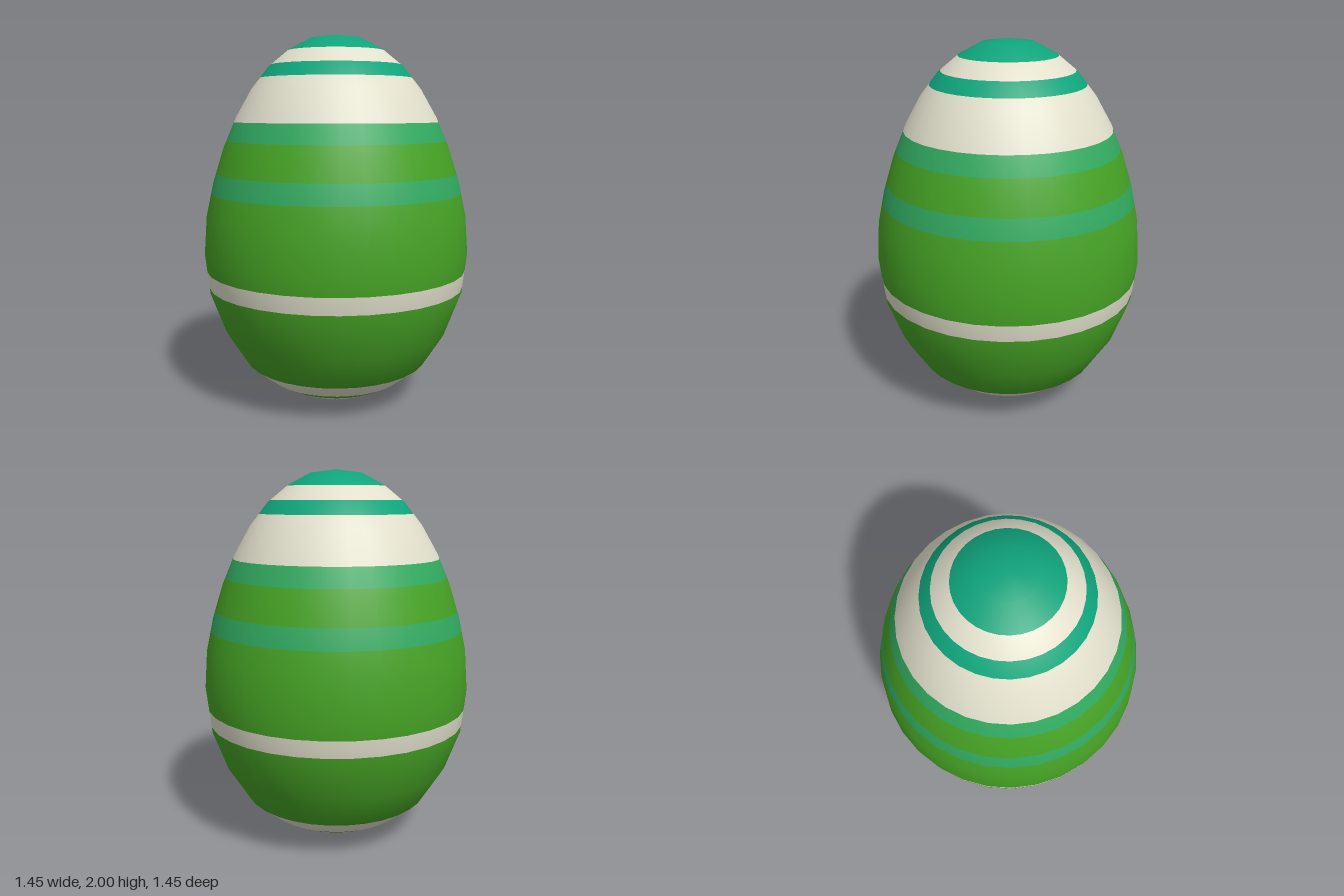
import * as THREE from 'three';

const SIDES = 32;

// Egg outline from bottom to top: [radius, height]
const OUTLINE = [
  [0, 0], [0.127, 0.012], [0.25, 0.045], [0.375, 0.11], [0.503, 0.21], [0.62, 0.395],
  [0.7, 0.61], [0.725, 0.83], [0.71, 1.036], [0.67, 1.22], [0.613, 1.4], [0.545, 1.56],
  [0.46, 1.709], [0.365, 1.83], [0.255, 1.92], [0.137, 1.982], [0, 2],
];

// Smooth outline normals, pointing straight down and up at the poles
const NORMALS = OUTLINE.map((p, i) => {
  if (i === 0) return new THREE.Vector2(0, -1);
  if (i === OUTLINE.length - 1) return new THREE.Vector2(0, 1);
  const [a, b] = [OUTLINE[i - 1], OUTLINE[i + 1]];
  return new THREE.Vector2(b[1] - a[1], a[0] - b[0]).normalize();
});

// Point and normal on the outline at a given height
function sample(y) {
  let i = 0;
  while (i < OUTLINE.length - 2 && OUTLINE[i + 1][1] < y) i++;
  const [r0, y0] = OUTLINE[i], [r1, y1] = OUTLINE[i + 1];
  const t = (y - y0) / (y1 - y0);
  return {
    point: new THREE.Vector2(r0 + (r1 - r0) * t, y),
    normal: NORMALS[i].clone().lerp(NORMALS[i + 1], t).normalize(),
  };
}

// One ring of shell between two heights, shaded as part of the whole egg
function bandGeometry(from, to) {
  const inner = OUTLINE.map((p) => p[1]).filter((y) => y > from + 1e-4 && y < to - 1e-4);
  const rows = [from, ...inner, to].map(sample);
  const geometry = new THREE.LatheGeometry(rows.map((s) => s.point), SIDES);
  const normal = geometry.attributes.normal;
  for (let i = 0; i <= SIDES; i++) {
    const a = (i / SIDES) * Math.PI * 2;
    rows.forEach(({ normal: n }, j) => {
      normal.setXYZ(i * rows.length + j, n.x * Math.sin(a), n.y, n.x * Math.cos(a));
    });
  }
  return geometry;
}

export function createModel() {
  const mat = (name, color) => Object.assign(new THREE.MeshStandardMaterial({ color }), { name });
  const green = mat('leaf green', 0x46a325);
  const cream = mat('cream', 0xe2e0cc);
  const mint = mat('mint green', 0x32aa60);
  const teal = mat('teal', 0x0fa47b);

  // Painted bands from bottom to top: [name, upper height, material]
  const bands = [
    ['bottomCap', 0.035, green],
    ['bottomThinStripe', 0.07, cream],
    ['bottomGreenRing', 0.11, green],
    ['bottomWideStripe', 0.2, cream],
    ['lowerShell', 0.64, green],
    ['lowerStripe', 0.73, cream],
    ['middleShell', 1.155, green],
    ['middleStripe', 1.26, mint],
    ['upperShell', 1.435, green],
    ['upperStripe', 1.535, mint],
    ['wideCreamBand', 1.77, cream],
    ['topStripe', 1.84, teal],
    ['topCreamRing', 1.915, cream],
    ['topCap', 2, teal],
  ];

  const egg = new THREE.Group();
  egg.name = 'stripedEgg';
  let from = 0;
  for (const [name, to, material] of bands) {
    const mesh = new THREE.Mesh(bandGeometry(from, to), material);
    mesh.name = name;
    egg.add(mesh);
    from = to;
  }
  return egg;
}
